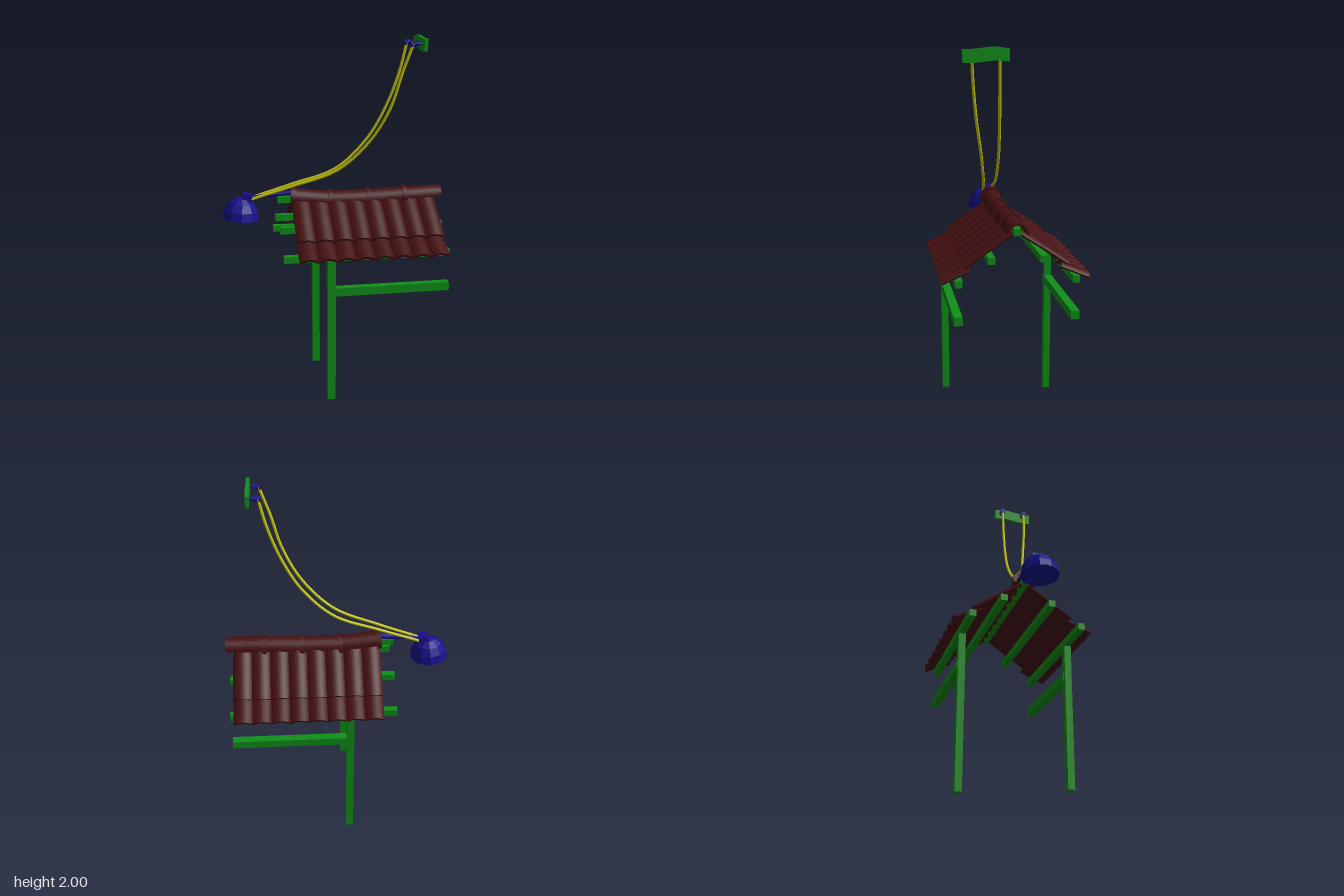
import * as THREE from 'three';

const mat = (color, flatShading = false) =>
  new THREE.MeshStandardMaterial({ color, flatShading, side: THREE.DoubleSide });
const green = mat(0x0f9018, true);
const maroon = mat(0x451012);
const blue = mat(0x16108a, true);
const yellow = mat(0xc9c910);

function add(parent, name, geometry, material, x = 0, y = 0, z = 0) {
  const mesh = new THREE.Mesh(geometry, material);
  mesh.name = name;
  mesh.position.set(x, y, z);
  parent.add(mesh);
  return mesh;
}

// Beam given by its lower and upper limits on each axis
function beam(parent, name, [x0, x1], [y0, y1], [z0, z1], material = green) {
  return add(parent, name, new THREE.BoxGeometry(x1 - x0, y1 - y0, z1 - z0), material,
    (x0 + x1) / 2, (y0 + y1) / 2, (z0 + z1) / 2);
}

// Curved band extruded along z, with the crown of the arc at y = 0
function arcBand(radius, thickness, halfAngle, length) {
  const a = Math.PI / 2 - halfAngle, b = Math.PI / 2 + halfAngle;
  const shape = new THREE.Shape();
  shape.absarc(0, 0, radius, a, b, false);
  shape.absarc(0, 0, radius - thickness, b, a, true);
  return new THREE.ExtrudeGeometry(shape, { depth: length, bevelEnabled: false, curveSegments: 8 })
    .translate(0, -radius, 0);
}

function roofSide(name) {
  const side = new THREE.Group();
  side.name = name;
  // Upper and lower crown of each course: z, y, z, y
  const courses = [
    [0.03, 1.125, 0.165, 1.035],
    [0.14, 1.053, 0.275, 0.96],
    [0.235, 0.95, 0.382, 0.888],
  ];
  for (const [z0, y0, z1, y1] of courses) {
    const geometry = arcBand(0.0724, 0.013, 0.8, Math.hypot(z1 - z0, y1 - y0));
    for (let i = 0; i < 8; i++) {
      const tile = add(side, 'roofTile', geometry, maroon, (i - 3.5) * 0.1, y0, z0);
      tile.rotation.x = Math.atan2(y0 - y1, z1 - z0);
    }
  }
  return side;
}

function ridge() {
  const group = new THREE.Group();
  group.name = 'ridge';
  // Crown line of the caps, sagging slightly in the middle
  const line = [[-0.225, 1.178], [-0.02, 1.155], [0.19, 1.155], [0.395, 1.162], [0.605, 1.168]];
  for (let i = 0; i < 4; i++) {
    const [x0, y0] = line[i], [x1, y1] = line[i + 1];
    const cap = new THREE.Group();
    cap.name = 'ridgeCap';
    cap.position.set(x0, y0, 0);
    cap.rotation.z = Math.atan2(y1 - y0, x1 - x0);
    const body = add(cap, 'ridgeCapBody', arcBand(0.055, 0.012, 1.6, Math.hypot(x1 - x0, y1 - y0)), maroon);
    const collar = add(cap, 'ridgeCapCollar', arcBand(0.065, 0.014, 1.75, 0.025), maroon, -0.012, 0.01);
    body.rotation.y = collar.rotation.y = Math.PI / 2;
    group.add(cap);
  }
  return group;
}

function lamp() {
  const group = new THREE.Group();
  group.name = 'lamp';
  // Faceted shade, tipped slightly
  const profile = [[0.103, 0], [0.094, 0.045], [0.07, 0.085], [0.035, 0.11], [0, 0.118]]
    .map(([r, y]) => new THREE.Vector2(r, y));
  const shade = add(group, 'lampShade', new THREE.LatheGeometry(profile, 10), blue, -0.513, 1.02, -0.008);
  shade.rotation.z = -0.09;
  const base = add(shade, 'lampShadeBase', new THREE.CircleGeometry(0.103, 10), blue);
  base.rotation.x = Math.PI / 2;
  const block = beam(group, 'lampBlock', [-0.5, -0.45], [1.1, 1.155], [-0.04, 0.02], blue);
  block.rotation.z = -0.09;
  // Tapered arm reaching to the ridge
  const arm = add(group, 'lampArm', new THREE.CylinderGeometry(0.017, 0.007, 0.26, 8), blue, -0.335, 1.145, -0.005);
  arm.rotation.z = -Math.PI / 2 + 0.08;
  return group;
}

function cable(name, points) {
  const group = new THREE.Group();
  group.name = name;
  const curve = new THREE.CatmullRomCurve3(points.map((p) => new THREE.Vector3(...p)));
  add(group, 'cableTube', new THREE.TubeGeometry(curve, 48, 0.008, 8), yellow);
  // Ribbed insulator and its pin
  const z = points[points.length - 1][2];
  const pin = add(group, 'insulatorPin', new THREE.CylinderGeometry(0.006, 0.006, 0.07, 8), blue, 0.405, 1.96, z);
  pin.rotation.z = Math.PI / 2;
  for (const x of [0.378, 0.392, 0.406]) {
    const rib = add(group, 'insulatorRib', new THREE.CylinderGeometry(0.016, 0.016, 0.008, 10), blue, x, 1.96, z);
    rib.rotation.z = Math.PI / 2;
  }
  return group;
}

// Wavy board that carries both cable ends
function wallBoard() {
  const shape = new THREE.Shape();
  shape.moveTo(-0.245, 1.925);
  shape.bezierCurveTo(-0.15, 1.915, -0.13, 1.945, -0.015, 1.928);
  shape.lineTo(-0.015, 1.99);
  shape.bezierCurveTo(-0.12, 2.012, -0.13, 1.985, -0.245, 1.988);
  const geometry = new THREE.ExtrudeGeometry(shape, { depth: 0.018, bevelEnabled: false, curveSegments: 10 });
  return geometry.rotateY(Math.PI / 2);
}

export function createModel() {
  const model = new THREE.Group();
  model.name = 'tiledShelter';

  // Posts and side rails; the rear post reaches lower
  for (const [z, foot] of [[0.295, 0.05], [-0.3, 0]]) {
    beam(model, 'post', [-0.08, -0.037], [foot, 0.88], [z - 0.019, z + 0.019]);
    beam(model, 'sideRail', [-0.06, 0.585], [0.653, 0.698], [z - 0.022, z + 0.022]);
  }

  // Purlins under the tiles
  for (const [z, y] of [[0.29, 0.866], [-0.302, 0.866], [0.128, 0.978], [-0.135, 0.978], [0, 1.118]]) {
    beam(model, 'purlin', [-0.31, 0.585], [y - 0.018, y + 0.018], [z - 0.018, z + 0.018]);
  }

  // Two mirrored roof slopes
  const front = roofSide('frontRoof');
  const back = roofSide('backRoof');
  front.position.x = back.position.x = 0.166;
  back.rotation.y = Math.PI;
  model.add(front, back, ridge(), lamp());

  // Cables rising from the lamp to the board
  model.add(
    cable('rearCable', [[-0.455, 1.127, -0.026], [-0.228, 1.2, -0.01], [0.01, 1.283, 0.01],
      [0.18, 1.445, 0.024], [0.285, 1.63, 0.037], [0.35, 1.81, 0.047], [0.385, 1.96, 0.052]]),
    cable('frontCable', [[-0.455, 1.127, 0.013], [-0.228, 1.2, 0.042], [0.01, 1.288, 0.08],
      [0.18, 1.45, 0.118], [0.28, 1.63, 0.155], [0.333, 1.81, 0.178], [0.385, 1.96, 0.192]]));
  add(model, 'wallBoard', wallBoard(), green, 0.43);
  return model;
}
